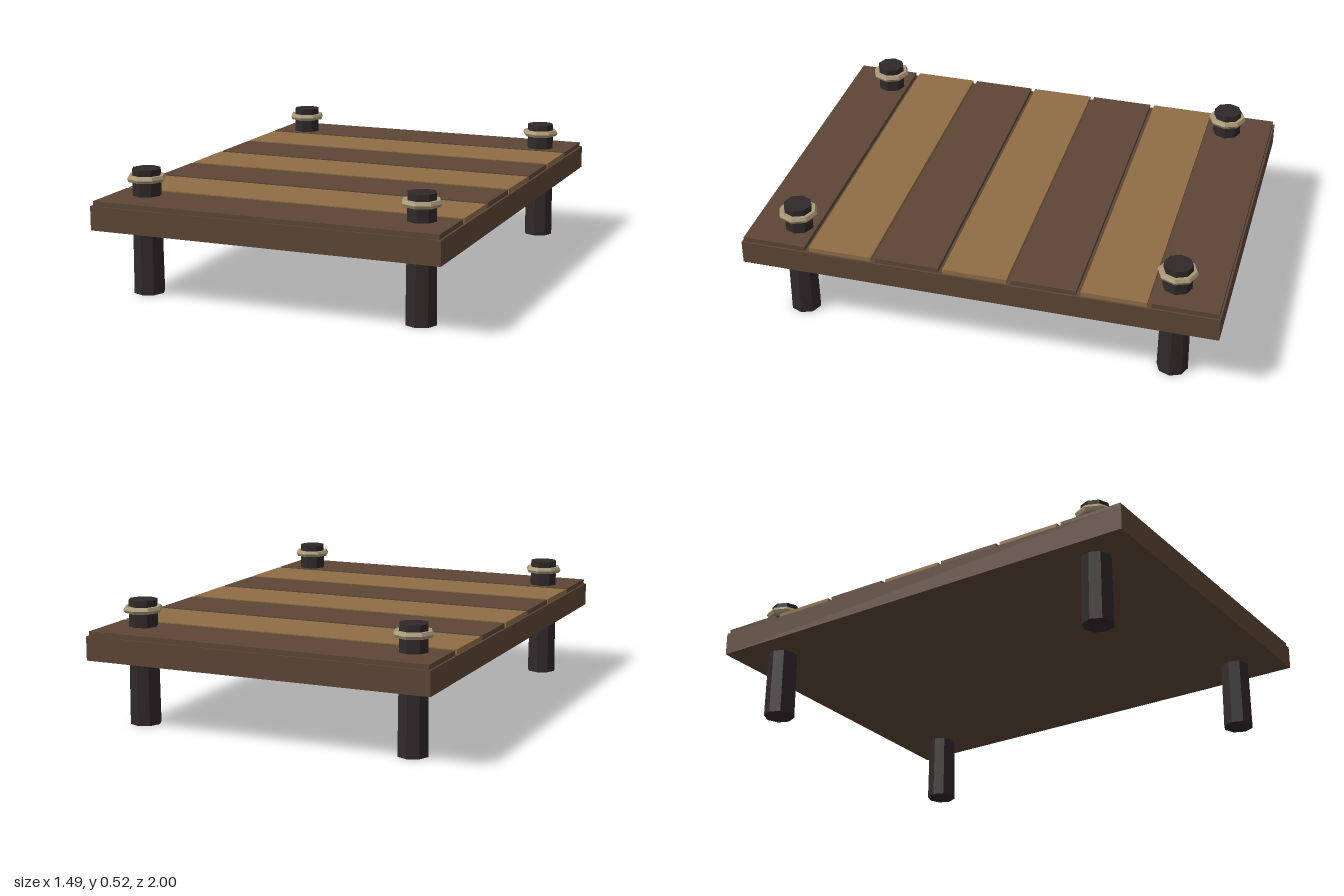
import * as THREE from 'three';

const material = (name, color) => {
  const m = new THREE.MeshStandardMaterial({ color });
  m.name = name;
  return m;
};

// Faceted copy of a low-poly geometry
const faceted = (geometry) => {
  const g = geometry.toNonIndexed();
  g.computeVertexNormals();
  return g;
};

export function createModel() {
  const darkWood = material('dark wood', 0x5c4535);
  const lightWood = material('light wood', 0x8e6d45);
  const postWood = material('tarred post wood', 0x30292a);
  const rope = material('rope', 0xa89876);

  const dock = new THREE.Group();
  dock.name = 'dock';
  const add = (name, geometry, mat, x, y, z) => {
    const mesh = new THREE.Mesh(geometry, mat);
    mesh.name = name;
    mesh.position.set(x, y, z);
    dock.add(mesh);
    return mesh;
  };

  // Solid deck slab
  add('deck', new THREE.BoxGeometry(1.494, 0.1, 2), darkWood, 0, 0.341, 0);

  // Seven planks in alternating wood, slightly proud of the slab
  const plankGeometry = new THREE.BoxGeometry(1.476, 0.03, 0.268);
  for (let i = 0; i < 7; i++) {
    add('plank', plankGeometry, i % 2 ? lightWood : darkWood, 0, 0.396, (i - 3) * 0.286);
  }

  // Corner posts, each with a rope ring above the deck
  const postGeometry = faceted(new THREE.CylinderGeometry(0.06, 0.065, 0.522, 8));
  const ringGeometry = faceted(new THREE.TorusGeometry(0.068, 0.015, 6, 8).rotateX(Math.PI / 2));
  for (const x of [-0.598, 0.598]) {
    for (const z of [-0.8, 0.8]) {
      add('post', postGeometry, postWood, x, 0.261, z);
      add('ropeRing', ringGeometry, rope, x, 0.482, z);
    }
  }
  return dock;
}
